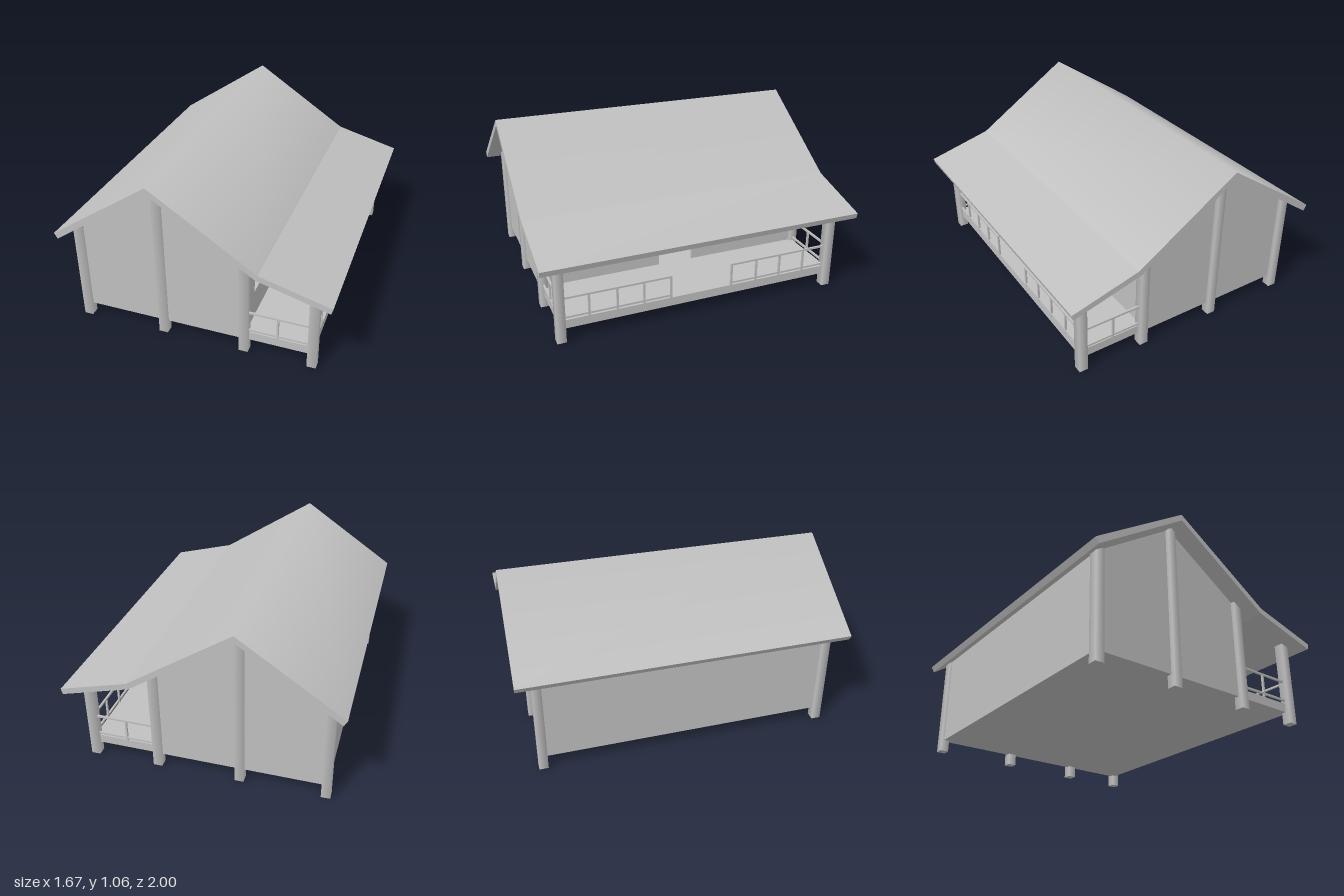
import * as THREE from 'three';

export function createModel() {
  const model = new THREE.Group();
  const grey = new THREE.MeshStandardMaterial({ color: 0xc0c0c0 });
  grey.name = 'plain grey';

  const add = (name, geometry, x = 0, y = 0, z = 0) => {
    const mesh = new THREE.Mesh(geometry, grey);
    mesh.name = name;
    mesh.position.set(x, y, z);
    model.add(mesh);
    return mesh;
  };
  // Box given by its limits on each axis
  const block = (name, x0, x1, y0, y1, z0, z1) =>
    add(name, new THREE.BoxGeometry(x1 - x0, y1 - y0, z1 - z0),
      (x0 + x1) / 2, (y0 + y1) / 2, (z0 + z1) / 2);
  const outline = (points) => new THREE.Shape(points.map(([x, y]) => new THREE.Vector2(x, y)));
  const extrude = (shape, depth) =>
    new THREE.ExtrudeGeometry(shape, { depth, bevelEnabled: false }).translate(0, 0, -depth / 2);

  // Roof: bent slab running the full length, softly shaded over the ridge
  const roof = extrude(outline([
    [-0.835, 0.645], [-0.815, 0.61], [-0.22, 1.02], [0.4, 0.61],
    [0.822, 0.495], [0.832, 0.53], [0.412, 0.645], [-0.22, 1.06],
  ]), 2);
  const pos = roof.attributes.position, nor = roof.attributes.normal;
  for (let i = 0; i < pos.count; i++) {
    if (pos.getY(i) > 1.05 && Math.abs(nor.getZ(i)) < 0.5) nor.setXYZ(i, 0, 1, 0);
  }
  add('roof', roof);

  // Floor slab under the house and the porch
  block('floor', -0.74, 0.712, 0.075, 0.13, -0.88, 0.88);

  // Gable walls at both ends
  for (const side of [1, -1]) {
    const gable = outline([[-0.745, 0.075], [0.305, 0.075], [0.305, 0.68], [-0.22, 1.03], [-0.745, 0.67]]);
    add(side > 0 ? 'frontGable' : 'backGable', extrude(gable, 0.012), 0, 0, side * 0.877);
  }

  // Long walls; the porch wall has a doorway and two window openings
  block('rightWall', -0.745, -0.733, 0.075, 0.67, -0.88, 0.88);
  const porchWall = outline([[-0.88, 0.13], [-0.115, 0.13], [-0.115, 0.58], [0.115, 0.58],
    [0.115, 0.13], [0.88, 0.13], [0.88, 0.68], [-0.88, 0.68]]);
  for (const s of [1, -1]) {
    const a = s * 0.28, b = s * 0.72;
    porchWall.holes.push(new THREE.Path([[a, 0.305], [a, 0.58], [b, 0.58], [b, 0.305]]
      .map(([x, y]) => new THREE.Vector2(x, y))));
  }
  add('porchWall', extrude(porchWall, 0.012).rotateY(Math.PI / 2), 0.299);

  // Square posts with softened corners, in pairs at both ends
  const postTops = [[-0.738, 0.67], [-0.218, 1.03], [0.298, 0.69], [0.712, 0.53]];
  for (const [x, top] of postTops) {
    for (const side of [1, -1]) {
      const post = new THREE.CylinderGeometry(0.039, 0.039, top, 4).rotateY(Math.PI / 4);
      add('post', post, x, top / 2, side * 0.88);
    }
  }

  // Porch railings: one run across each end, one along each side of the entrance
  const t = 0.006;
  for (const s of [1, -1]) {
    const z = s * 0.88;
    const [z0, z1] = s > 0 ? [0.194, 0.86] : [-0.86, -0.194];
    for (const y of [0.275, 0.15]) {
      block('endRail', 0.32, 0.69, y - t, y + t, z - t, z + t);
      block('sideRail', 0.712 - t, 0.712 + t, y - t, y + t, z0, z1);
    }
    block('endBaluster', 0.5 - t, 0.5 + t, 0.13, 0.275, z - t, z + t);
    for (const d of [0.2, 0.37, 0.535, 0.705]) {
      block('sideBaluster', 0.712 - t, 0.712 + t, 0.13, 0.275, s * d - t, s * d + t);
    }
  }
  return model;
}
